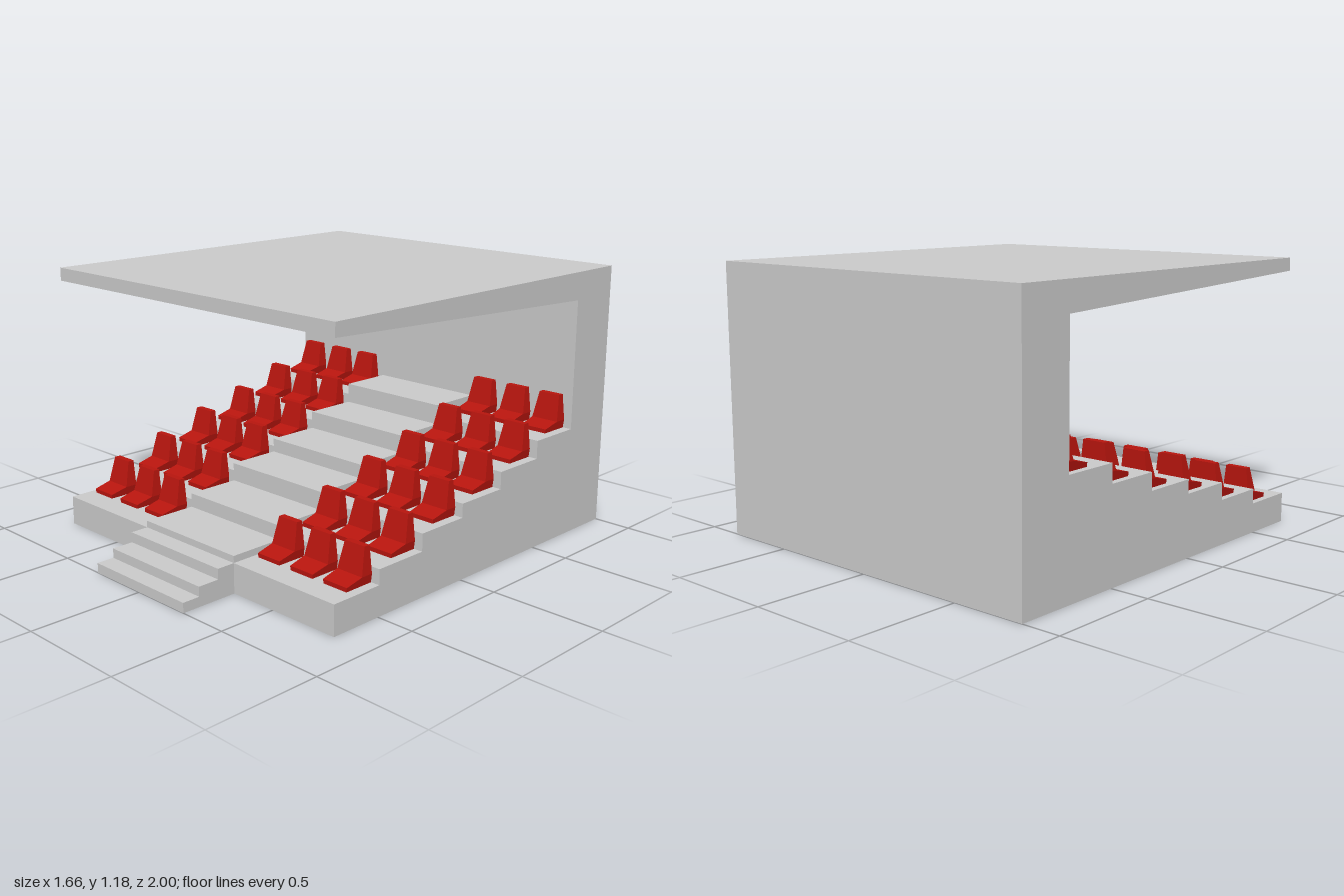
import * as THREE from 'three';

const grey = new THREE.MeshStandardMaterial({ color: 0xcccccc, flatShading: true });
const red = new THREE.MeshStandardMaterial({ color: 0xb8150e, flatShading: true });

const HALF_WIDTH = 0.83, AISLE = 0.278;
const WALL = -0.75, FRONT = 0.74;
// Front edge of every tier, with the heights of the seating and of the aisle
const edges = [FRONT, 0.495, 0.247, 0, -0.25, -0.5, WALL];
const tierY = [0.13, 0.195, 0.27, 0.33, 0.405, 0.485];
const aisleY = [0.16, 0.222, 0.303, 0.365, 0.445, 0.535];

// Extrudes a side profile of [z, y] points between two x positions
function extrudeSide(points, x0, x1) {
  const shape = new THREE.Shape(points.map(([z, y]) => new THREE.Vector2(z, y)));
  const geo = new THREE.ExtrudeGeometry(shape, { depth: x1 - x0, bevelEnabled: false });
  return geo.rotateY(-Math.PI / 2).translate(x1, 0, 0);
}

// Stair profile from front edges and tread heights
function stairProfile(zs, ys) {
  const points = [[zs[zs.length - 1], 0], [zs[0], 0]];
  ys.forEach((y, i) => points.push([zs[i], y], [zs[i + 1], y]));
  return points;
}

// Seat: side profile measured from its back, tapered in width by height
function seatGeometry() {
  const geo = extrudeSide(
    [[0, 0], [0.135, 0], [0.135, 0.018], [0.055, 0.037], [0.028, 0.15], [0, 0.15], [0, 0.037]], -1, 1);
  const pos = geo.attributes.position;
  for (let i = 0; i < pos.count; i++) {
    const y = pos.getY(i);
    const half = y < 0.037
      ? THREE.MathUtils.mapLinear(y, 0, 0.037, 0.06, 0.065)
      : THREE.MathUtils.mapLinear(y, 0.037, 0.15, 0.065, 0.051);
    pos.setX(i, pos.getX(i) * half);
  }
  geo.computeVertexNormals();
  return geo;
}

export function createModel() {
  const model = new THREE.Group();
  model.name = 'grandstand';
  const add = (name, geo, material, parent = model) => {
    const mesh = new THREE.Mesh(geo, material);
    mesh.name = name;
    parent.add(mesh);
    return mesh;
  };

  // Back wall and tapered roof in one piece
  add('wallAndRoof', extrudeSide(
    [[-1, 0], [WALL, 0], [WALL, 1.058], [FRONT, 1.123], [FRONT, 1.18], [-1, 1.18]],
    -HALF_WIDTH, HALF_WIDTH), grey);

  // Seating tiers on both sides of the aisle
  const tiers = stairProfile(edges, tierY);
  add('rightTiers', extrudeSide(tiers, -HALF_WIDTH, -AISLE), grey);
  add('leftTiers', extrudeSide(tiers, AISLE, HALF_WIDTH), grey);

  // Raised central aisle with the entrance steps in front
  add('aisle', extrudeSide(
    stairProfile([1, 0.92, 0.822, ...edges], [0.043, 0.085, 0.13, ...aisleY]),
    -AISLE, AISLE), grey);

  // Rows of seats
  const seatGeo = seatGeometry();
  tierY.forEach((y, row) => {
    const seats = new THREE.Group();
    seats.name = `seatRow${row + 1}`;
    for (const x of [-0.74, -0.552, -0.374, 0.363, 0.548, 0.728]) {
      add('seat', seatGeo, red, seats).position.set(x, y, edges[row + 1] + 0.001);
    }
    model.add(seats);
  });

  return model;
}
